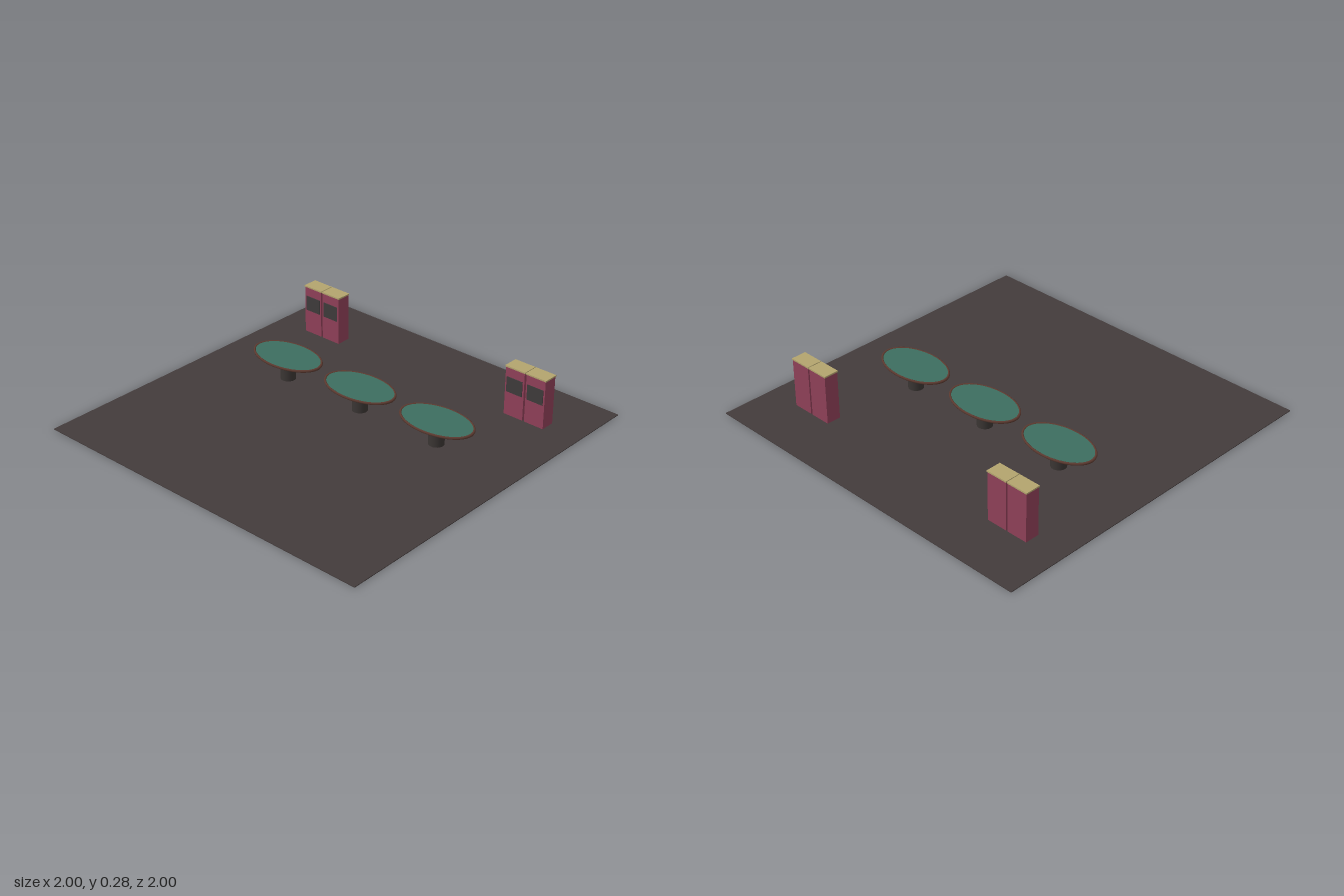
import * as THREE from 'three';

const mat = (name, color) => {
  const m = new THREE.MeshStandardMaterial({ color });
  m.name = name;
  return m;
};

export function createModel() {
  const model = new THREE.Group();
  model.name = 'gamingRoom';

  const carpet = mat('carpet', 0x433b3b);
  const felt = mat('greenFelt', 0x3c6e60);
  const wood = mat('brownWood', 0x5c3a30);
  const dark = mat('darkPedestal', 0x3a3533);
  const maroon = mat('maroonCabinet', 0x8f4058);
  const gold = mat('goldTrim', 0xb3a46e);
  const glass = mat('darkScreen', 0x3e3b3b);

  const add = (parent, name, geometry, material, x, y, z) => {
    const mesh = new THREE.Mesh(geometry, material);
    mesh.name = name;
    mesh.position.set(x, y, z);
    parent.add(mesh);
    return mesh;
  };

  add(model, 'floor', new THREE.BoxGeometry(2, 0.004, 2), carpet, 0, 0.002, 0);

  // Oval tables: pedestal, felt top and rounded wooden rim
  const pedestalGeo = new THREE.CylinderGeometry(0.041, 0.041, 0.126, 24);
  const topGeo = new THREE.CylinderGeometry(0.207, 0.207, 0.01, 48).scale(1, 1, 0.605);
  const rimGeo = new THREE.TorusGeometry(0.208, 0.0075, 8, 48)
    .rotateX(Math.PI / 2).scale(1, 1, 0.605);
  for (const x of [-0.5, 0, 0.5]) {
    const table = new THREE.Group();
    table.name = 'table';
    table.position.set(x, 0, -0.165);
    add(table, 'pedestal', pedestalGeo, dark, 0, 0.065, 0);
    add(table, 'feltTop', topGeo, felt, 0, 0.131, 0);
    add(table, 'rim', rimGeo, wood, 0, 0.132, 0);
    model.add(table);
  }

  // Slot machines: two pairs mirrored across the room
  const bodyGeo = new THREE.BoxGeometry(0.116, 0.27, 0.08);
  const capGeo = new THREE.BoxGeometry(0.123, 0.008, 0.084);
  const screenGeo = new THREE.BoxGeometry(0.097, 0.084, 0.005);
  for (const side of [-1, 1]) {
    for (const offset of [0.62, 0.747]) {
      const machine = new THREE.Group();
      machine.name = 'slotMachine';
      machine.position.set(side * offset, 0, -0.665);
      add(machine, 'cabinet', bodyGeo, maroon, 0, 0.138, 0);
      add(machine, 'topTrim', capGeo, gold, 0, 0.275, 0);
      add(machine, 'screen', screenGeo, glass, 0, 0.178, 0.041);
      model.add(machine);
    }
  }
  return model;
}
